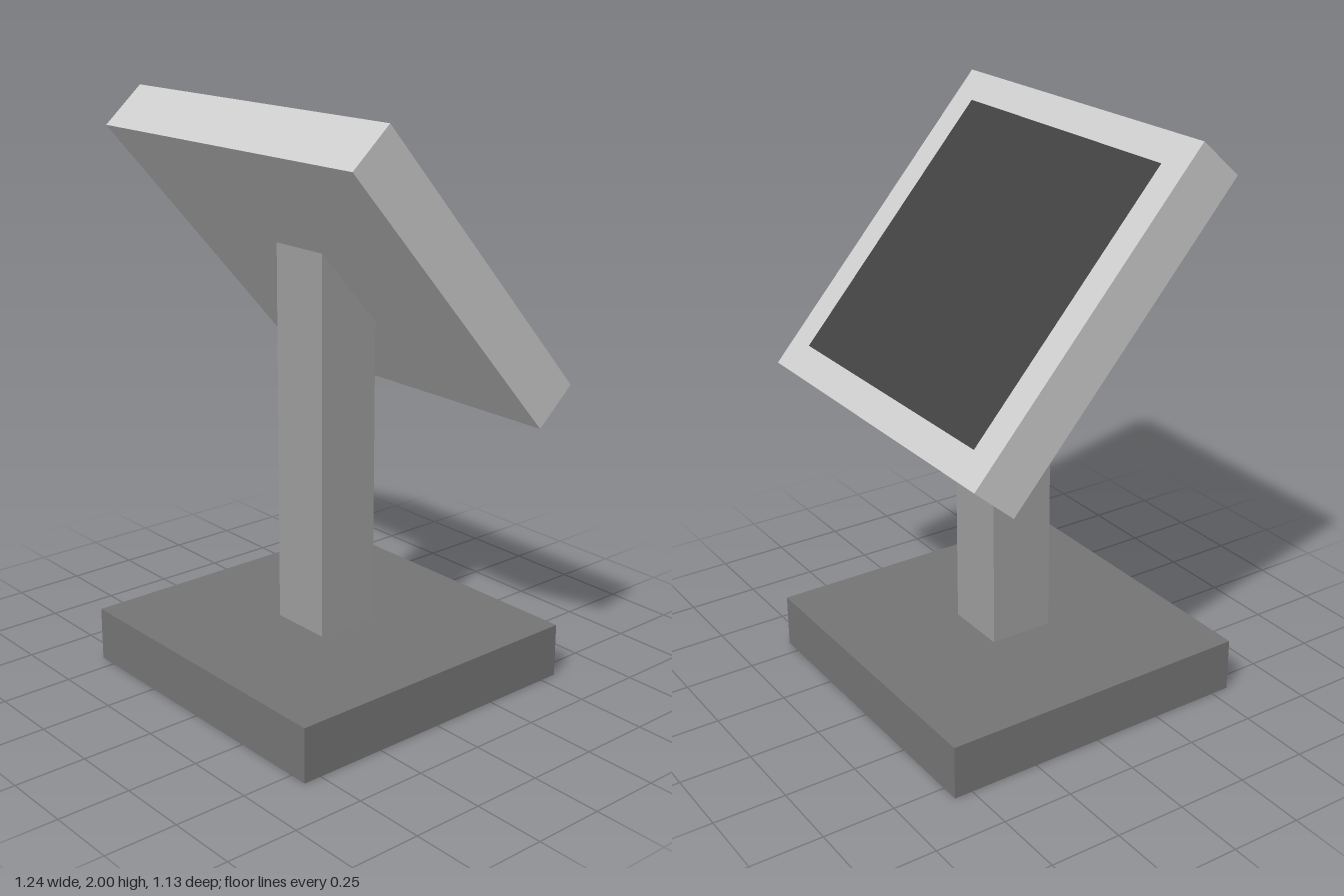
import * as THREE from 'three';

const TILT = -0.849; // slope of the display head
const WIDTH = 1.24, LENGTH = 1.226, THICK = 0.185, BEZEL = 0.106;

function part(name, geometry, color, side = THREE.FrontSide) {
  const mesh = new THREE.Mesh(geometry, new THREE.MeshStandardMaterial({ color, side }));
  mesh.name = name;
  return mesh;
}

// Box shell with its bottom face left out
function openBottomBox(w, h, d) {
  const box = new THREE.BoxGeometry(w, h, d);
  const index = Array.from(box.index.array);
  index.splice(18, 6);
  box.setIndex(index);
  box.clearGroups();
  return box;
}

export function createModel() {
  const model = new THREE.Group();
  model.name = 'displayStand';

  // Hollow square foot
  const base = part('base', openBottomBox(1.13, 0.19, 1.13), 0x747474, THREE.DoubleSide);
  base.position.y = 0.095;
  model.add(base);

  // Square post, its top cut to the slope of the head
  const r = 0.115;
  const profile = new THREE.Shape([
    new THREE.Vector2(-r, 0.191),
    new THREE.Vector2(r, 0.191),
    new THREE.Vector2(r, 1.525),
    new THREE.Vector2(-r, 1.263),
  ]);
  const postShape = new THREE.ExtrudeGeometry(profile, { depth: 2 * r, bevelEnabled: false });
  postShape.translate(0, 0, -r).rotateY(-Math.PI / 2);
  model.add(part('post', postShape, 0x9d9d9d));

  // Tilted head: casing with a flush screen on its upper face
  const head = new THREE.Group();
  head.name = 'head';
  head.position.set(0, 1.48, -0.045);
  head.rotation.x = TILT;
  head.add(part('casing', new THREE.BoxGeometry(WIDTH, THICK, LENGTH), 0xcccccc));
  const screen = part('screen',
    new THREE.PlaneGeometry(WIDTH - 2 * BEZEL, LENGTH - 2 * BEZEL).rotateX(-Math.PI / 2), 0x404040);
  screen.position.y = THICK / 2 + 0.002;
  head.add(screen);
  model.add(head);

  return model;
}
